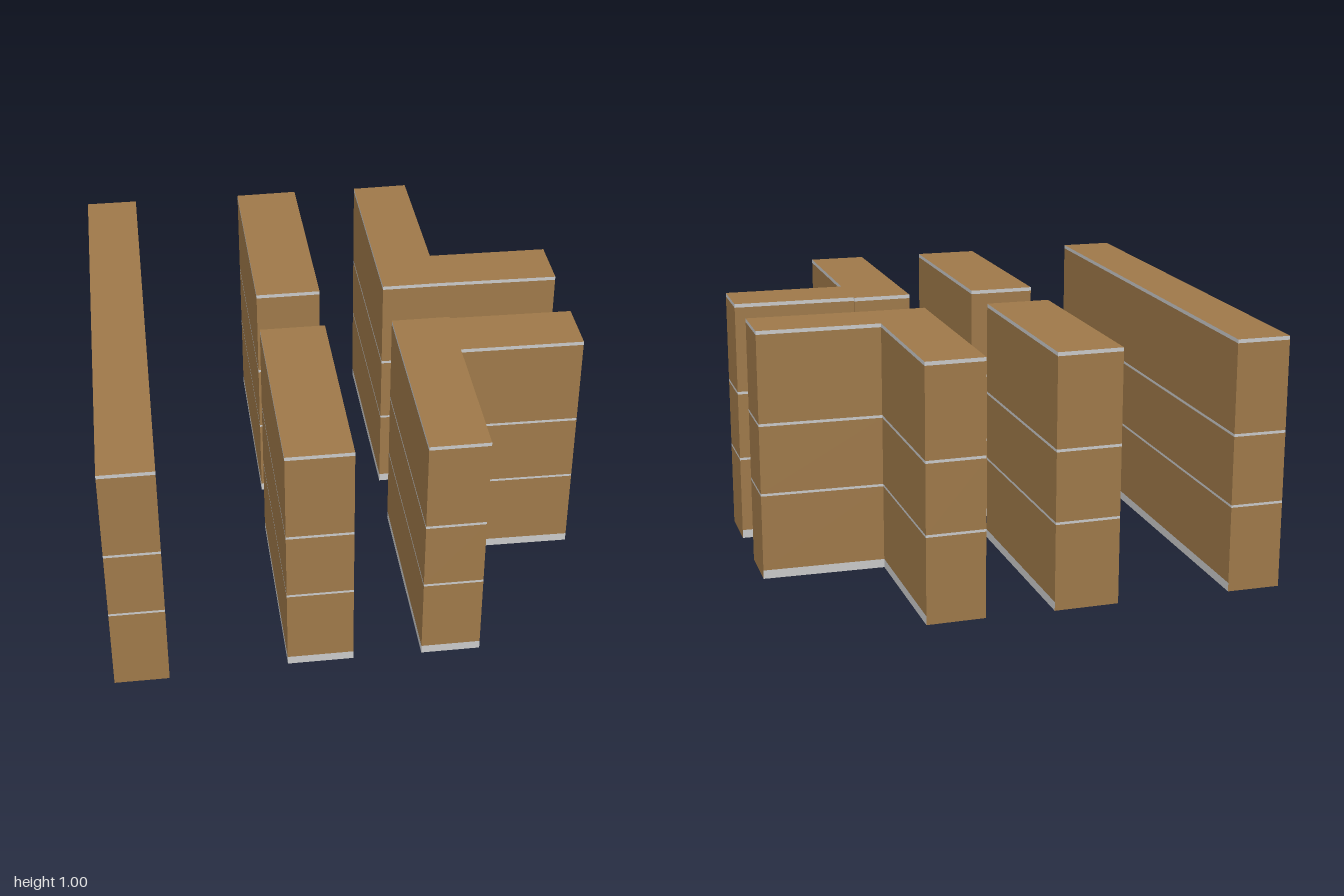
import * as THREE from 'three';

const HEIGHT = 1.005;
const brown = new THREE.MeshStandardMaterial({ color: 0xa07a4a });
const grey = new THREE.MeshStandardMaterial({ color: 0xcccccc });

// Height ranges of the courses and of the mortar lines between them
const COURSES = [[0.035, 0.342], [0.352, 0.625], [0.636, 0.99]];
const JOINTS = [[0.342, 0.352], [0.625, 0.636], [0.99, HEIGHT]];
const BASE = [0, 0.035];

// Plan outlines as [x, z] corners; ends lists the edges whose base is not grey
const WALLS = [
  { name: 'longWall', ends: [0, 2],
    plan: [[-0.957, -1], [-0.745, -1], [-0.753, 1], [-0.966, 1]] },
  { name: 'backMiddleWall', ends: [0],
    plan: [[-0.292, -0.995], [-0.035, -1], [-0.026, -0.14], [-0.286, -0.14]] },
  { name: 'frontMiddleWall', ends: [],
    plan: [[-0.297, 0.12], [-0.036, 0.12], [-0.032, 0.977], [-0.29, 0.977]] },
  { name: 'backCornerWall', ends: [0, 3],
    plan: [[0.234, -0.995], [0.466, -1], [0.472, -0.366], [0.961, -0.36],
      [0.961, -0.132], [0.472, -0.142], [0.238, -0.142]] },
  { name: 'frontCornerWall', ends: [3],
    plan: [[0.234, 0.12], [0.468, 0.12], [0.468, 0.13], [0.961, 0.138],
      [0.961, 0.366], [0.47, 0.36], [0.47, 0.98], [0.238, 0.98]] },
];

// Upright strips along the plan edges for the bands chosen for each edge
function strips(plan, bandsFor) {
  const pos = [];
  plan.forEach(([ax, az], i) => {
    const [bx, bz] = plan[(i + 1) % plan.length];
    for (const [lo, hi] of bandsFor(i)) {
      pos.push(bx, lo, bz, ax, lo, az, ax, hi, az);
      pos.push(bx, lo, bz, ax, hi, az, bx, hi, bz);
    }
  });
  const geo = new THREE.BufferGeometry();
  geo.setAttribute('position', new THREE.Float32BufferAttribute(pos, 3));
  geo.computeVertexNormals();
  return geo;
}

// Flat cap facing up (side 1) or down (side -1)
function cap(plan, side) {
  const shape = new THREE.Shape(plan.map(([x, z]) => new THREE.Vector2(x, -side * z)));
  return new THREE.ShapeGeometry(shape).rotateX(-side * Math.PI / 2);
}

function buildWall({ name, plan, ends }) {
  const wall = new THREE.Group();
  wall.name = name;
  const add = (part, geo, mat) => {
    const mesh = new THREE.Mesh(geo, mat);
    mesh.name = part;
    wall.add(mesh);
    return mesh;
  };
  add('courses', strips(plan, i => ends.includes(i) ? [BASE, ...COURSES] : COURSES), brown);
  add('mortarLines', strips(plan, i => ends.includes(i) ? JOINTS : [BASE, ...JOINTS]), grey);
  add('top', cap(plan, 1), brown).position.y = HEIGHT;
  add('underside', cap(plan, -1), brown);
  return wall;
}

export function createModel() {
  const model = new THREE.Group();
  model.name = 'wallBlocks';
  WALLS.forEach(w => model.add(buildWall(w)));
  return model;
}
